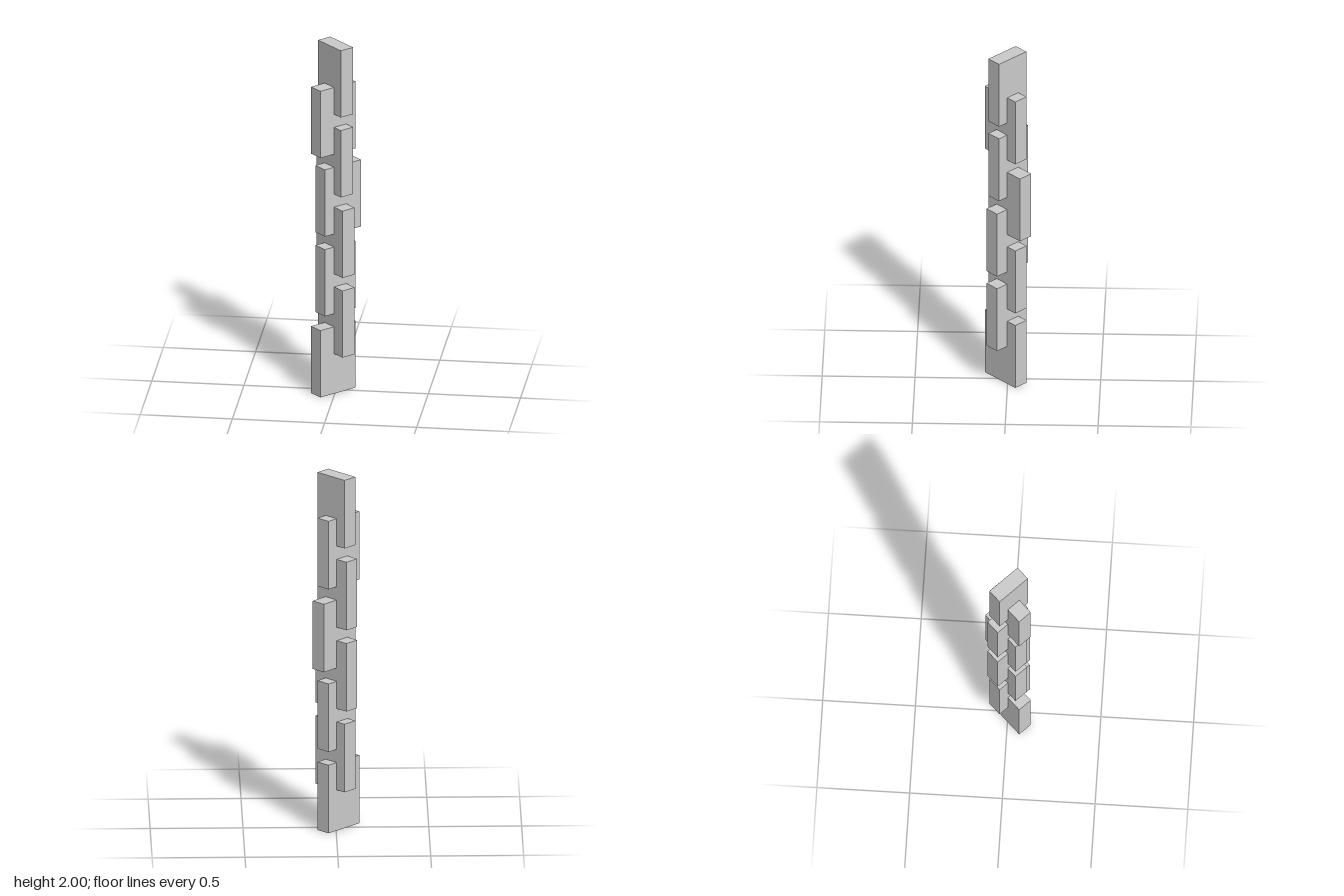
import * as THREE from 'three';

const LINK_HEIGHT = 0.386;
const LINK_THICKNESS = 0.083;
const STEP = (2 - LINK_HEIGHT) / 7;

// Reach of each link to either side of the axis, from the bottom up.
const REACH = [
  [-0.138, 0.101], [-0.101, 0.115],
  [-0.108, 0.101], [-0.115, 0.115],
  [-0.108, 0.138], [-0.115, 0.101],
  [-0.138, 0.101], [-0.101, 0.101],
];

export function createModel() {
  const model = new THREE.Group();
  model.name = 'chain';
  const grey = new THREE.MeshStandardMaterial({ color: 0xcccccc });
  grey.name = 'light grey';

  // Solid links stacked with overlap, turned alternately to the two diagonals.
  REACH.forEach(([from, to], i) => {
    const odd = i % 2 === 1;
    const geometry = new THREE.BoxGeometry(to - from, LINK_HEIGHT, LINK_THICKNESS);
    geometry.translate((from + to) / 2, LINK_HEIGHT / 2, odd ? 0.004 : -0.001);
    const link = new THREE.Mesh(geometry, grey);
    link.name = `chainLink${i + 1}`;
    link.position.y = i * STEP;
    link.rotation.y = odd ? -Math.PI / 4 : Math.PI / 4;
    model.add(link);
  });
  return model;
}
